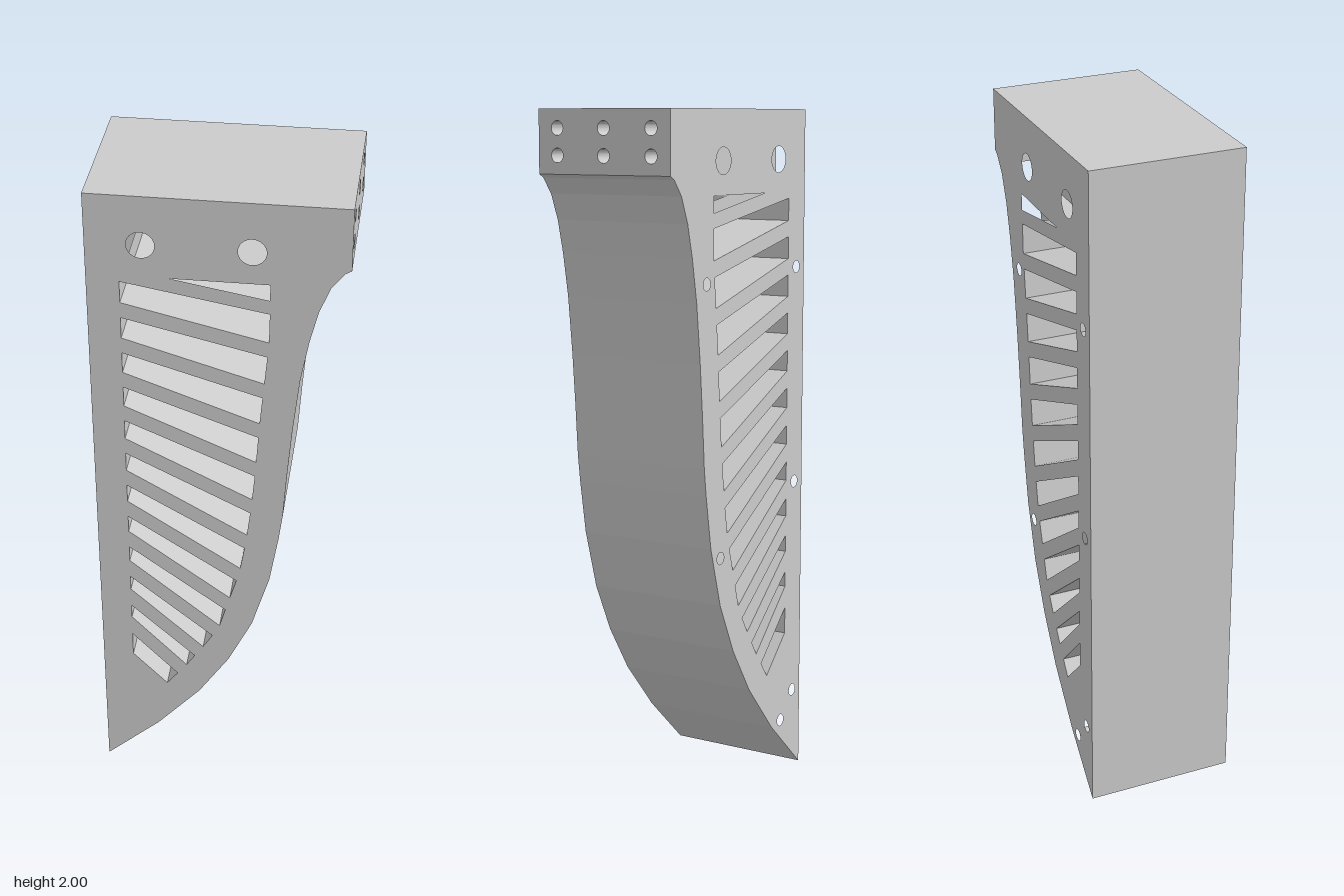
import * as THREE from 'three';

const HALF = 0.222;     // half thickness in z
const PLATE = 0.1;      // depth of the blind screw holes in the back
const END_X = 0.23;     // where the drilled end block begins
const END_Y = 1.82;     // underside of the end block
const SLOT_X = -0.262;  // straight left end of all slots

// Outer curve, from the end block down to the tip
const OUTER = [[0.352, 1.82], [0.335, 1.81], [0.3, 1.765], [0.27, 1.69], [0.247, 1.595],
  [0.225, 1.47], [0.207, 1.3], [0.195, 1.15], [0.185, 1.0], [0.175, 0.92], [0.15, 0.765],
  [0.1, 0.59], [0.03, 0.44], [-0.06, 0.3], [-0.19, 0.15], [-0.352, 0]];

// Curved right limit of the slots
const LIMIT = [[0.14, 1.8], [0.14, 1.6], [0.132, 1.5], [0.118, 1.35], [0.103, 1.12],
  [0.09, 0.98], [0.074, 0.855], [0.06, 0.774], [0.03, 0.67], [0, 0.56],
  [-0.048, 0.48], [-0.1, 0.4], [-0.16, 0.32], [-0.22, 0.25]];

const toShape = (pts) => new THREE.Shape(pts.map(([x, y]) => new THREE.Vector2(x, y)));

function circle(x, y, r) {
  const p = new THREE.Path();
  p.absarc(x, y, r, 0, Math.PI * 2, true);
  return p;
}

function limitX(y) {
  for (let i = 1; i < LIMIT.length; i++) {
    const [x0, y0] = LIMIT[i - 1], [x1, y1] = LIMIT[i];
    if (y >= y1) return x0 + (x1 - x0) * (y0 - y) / (y0 - y1);
  }
  return LIMIT[LIMIT.length - 1][0];
}

// Follow a line sloping down from the left end until it meets the limit curve
function meet(y, slope) {
  let a = 0, b = 0.5;
  for (let i = 0; i < 40; i++) {
    const m = (a + b) / 2;
    if (SLOT_X + m < limitX(y - slope * m)) a = m; else b = m;
  }
  return [SLOT_X + a, y - slope * a];
}

// Slots lie between bars that grow steeper towards the tip
function slotPaths() {
  const angle = (i) => THREE.MathUtils.degToRad(10 + 3.35 * i);
  const barBottom = (i) => 1.743 - 0.1122 * i;
  const paths = [toShape([[-0.127, 1.762], [0.14, 1.762], [0.14, 1.714]])];
  for (let i = 0; i < 12; i++) {
    const last = i === 11;
    const a = angle(last ? i : i + 1);
    const top = barBottom(i);
    const bottom = last ? 0.43 : barBottom(i + 1) + 0.046 / Math.cos(a);
    paths.push(toShape([[SLOT_X, top], [SLOT_X, bottom],
      meet(bottom, Math.tan(a)), meet(top, Math.tan(angle(i)))]));
  }
  return paths;
}

function bracketShape(extraHoles = []) {
  const s = toShape([[-0.352, 2], [END_X, 2], [END_X, END_Y], ...OUTER]);
  s.holes.push(...slotPaths(), circle(-0.203, 1.857, 0.038), circle(0.092, 1.857, 0.038), ...extraHoles);
  return s;
}

const extrude = (shape, depth) =>
  new THREE.ExtrudeGeometry(shape, { depth, bevelEnabled: false, curveSegments: 16 });

export function createModel() {
  const group = new THREE.Group();
  const material = new THREE.MeshStandardMaterial({ color: 0xcccccc });
  const add = (name, geometry) => {
    const mesh = new THREE.Mesh(geometry, material);
    mesh.name = name;
    group.add(mesh);
  };

  // Slotted body
  add('slottedBody', extrude(bracketShape(), 2 * HALF - PLATE).translate(0, 0, PLATE - HALF));

  // Back layer with blind screw holes
  const screws = [[0.175, 1.52], [-0.308, 1.54], [-0.308, 0.893], [0.1, 0.73], [-0.308, 0.24], [-0.24, 0.16]]
    .map(([x, y]) => circle(x, y, 0.018));
  add('backPlate', extrude(bracketShape(screws), PLATE).translate(0, 0, -HALF));

  // End block drilled with two rows of three holes
  const end = toShape([[-HALF, END_Y], [HALF, END_Y], [HALF, 2], [-HALF, 2]]);
  for (const y of [1.872, 1.947])
    for (const z of [-0.158, 0, 0.158]) end.holes.push(circle(z, y, 0.02));
  add('drilledEnd', extrude(end, 0.352 - END_X).rotateY(Math.PI / 2).translate(END_X, 0, 0));

  return group;
}
